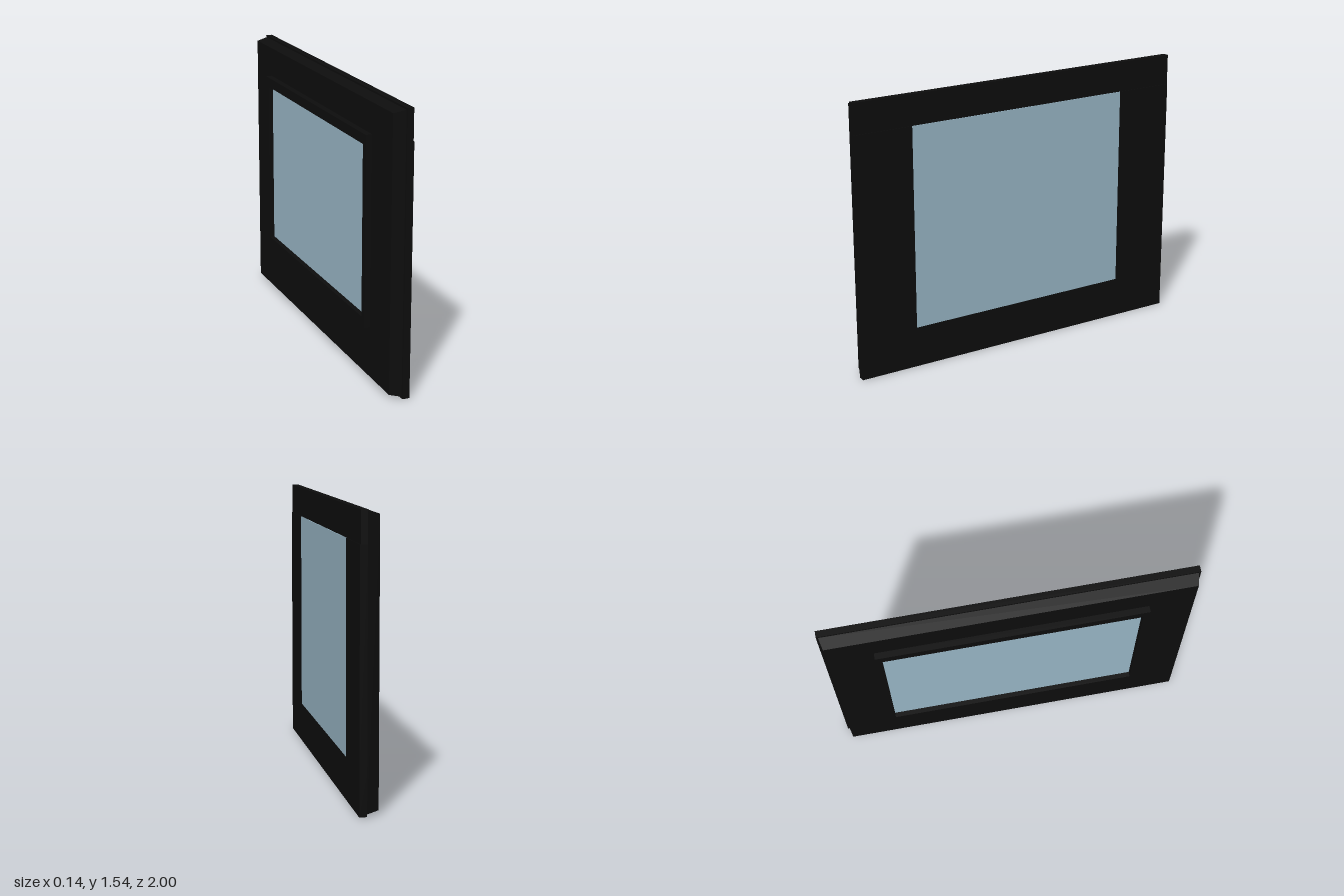
import * as THREE from 'three';

const black = new THREE.MeshStandardMaterial({ color: 0x0d0d0d });
const glass = new THREE.MeshStandardMaterial({ color: 0x9bb9c9 });

// Box given by its limits on each axis
function block(name, material, [x0, x1], [y0, y1], [z0, z1]) {
  const mesh = new THREE.Mesh(new THREE.BoxGeometry(x1 - x0, y1 - y0, z1 - z0), material);
  mesh.position.set((x0 + x1) / 2, (y0 + y1) / 2, (z0 + z1) / 2);
  mesh.name = name;
  return mesh;
}

export function createModel() {
  const group = new THREE.Group();
  group.name = 'framedWindow';

  const H = 1.54, midY = H / 2;
  const winZ = 0.665, winY0 = 0.23, winY1 = 1.37;
  const front = [0.03, 0.07];

  // Front bezel: sill, two side bars and a slightly thinner top bar
  group.add(block('bottomBar', black, front, [0, winY0], [-1, 1]));
  for (const s of [-1, 1]) {
    const z = s < 0 ? [-1, -winZ] : [winZ, 1];
    group.add(block(s < 0 ? 'rightBar' : 'leftBar', black, front, [winY0, winY1], z));
  }
  group.add(block('topBar', black, [0.03, 0.066], [winY1, H], [-1, 1]));

  // Pane flush with the bezel
  group.add(block('frontPane', glass, front, [winY0, winY1], [-winZ, winZ]));

  // Casing behind the bezel, tapering towards the back
  const casing = new THREE.BoxGeometry(0.065, 1, 1);
  const p = casing.attributes.position;
  for (let i = 0; i < p.count; i++) {
    const inset = p.getX(i) < 0 ? 0.025 : 0.01;
    p.setY(i, Math.sign(p.getY(i)) * (midY - inset));
    p.setZ(i, Math.sign(p.getZ(i)) * (1 - inset));
  }
  casing.computeVertexNormals();
  const casingMesh = new THREE.Mesh(casing, black);
  casingMesh.position.set(-0.0025, midY, 0);
  casingMesh.name = 'casing';
  group.add(casingMesh);

  // Raised rim on the back, around a shallow recess
  const back = [-0.07, -0.035];
  const rimZ = 0.73, rimY0 = 0.305, rimY1 = 1.35;
  const openZ = 0.695, openY0 = 0.36, openY1 = 1.295;
  group.add(block('rimBottom', black, back, [rimY0, openY0], [-rimZ, rimZ]));
  group.add(block('rimTop', black, back, [openY1, rimY1], [-rimZ, rimZ]));
  group.add(block('rimRight', black, back, [openY0, openY1], [-rimZ, -openZ]));
  group.add(block('rimLeft', black, back, [openY0, openY1], [openZ, rimZ]));

  // Recessed rear pane
  group.add(block('rearPane', glass, [-0.043, -0.035], [openY0, openY1], [-openZ, openZ]));

  return group;
}
